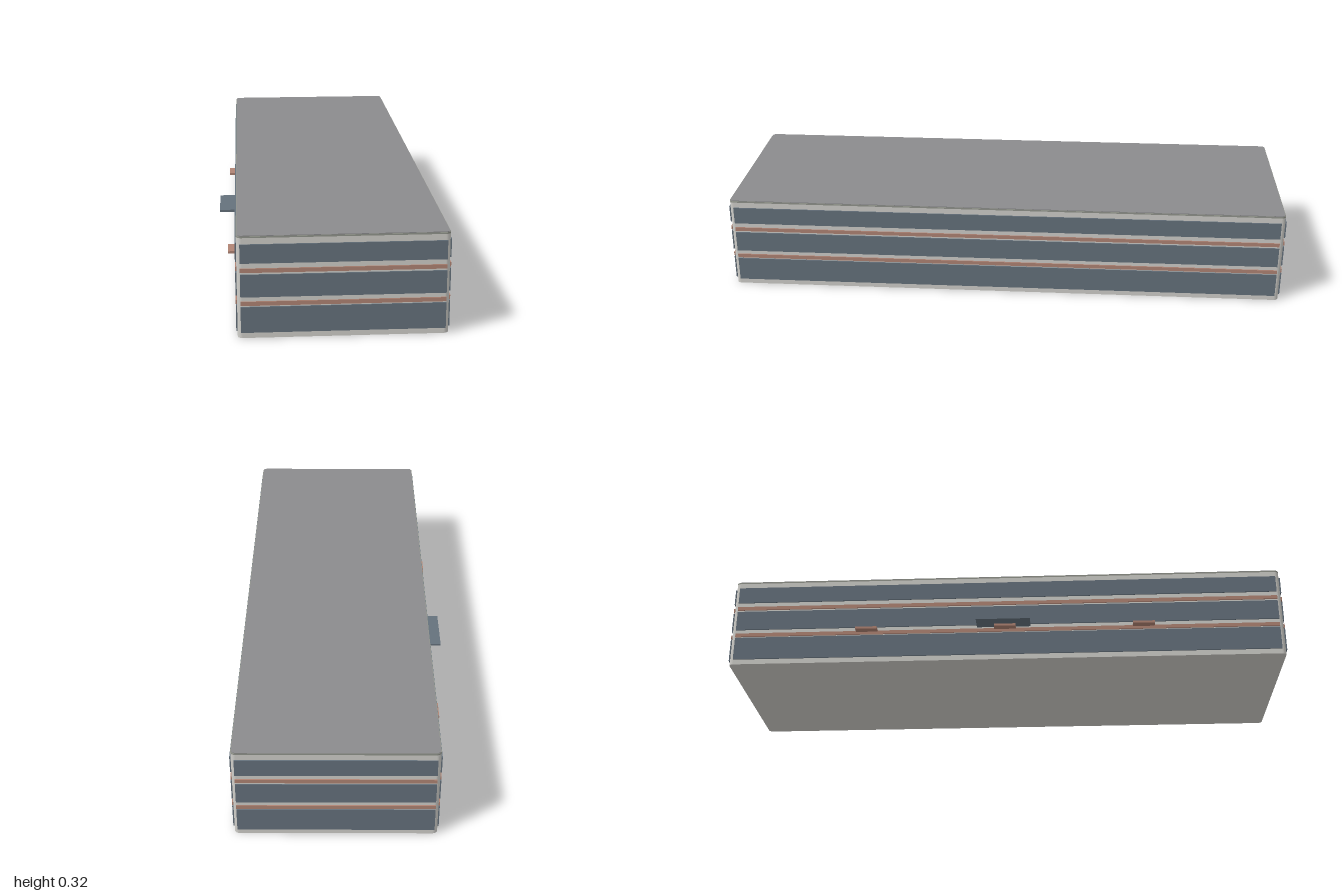
import * as THREE from 'three';

const W = 0.636, L = 1.918, TURN = 0.1385;

function material(name, color) {
  const m = new THREE.MeshStandardMaterial({ color });
  m.name = name;
  return m;
}

// Upright slab with a rounded rectangular plan
function slab(w, l, r, y0, y1) {
  const s = new THREE.Shape();
  const corners = [[1, 1, 0], [-1, 1, 1], [-1, -1, 2], [1, -1, 3]];
  for (const [sx, sy, q] of corners) {
    s.absarc(sx * (w / 2 - r), sy * (l / 2 - r), r, q * Math.PI / 2, (q + 1) * Math.PI / 2, false);
  }
  const g = new THREE.ExtrudeGeometry(s, { depth: y1 - y0, bevelEnabled: false, curveSegments: 4 });
  g.rotateX(-Math.PI / 2);
  g.translate(0, y0, 0);
  return g;
}

export function createModel() {
  const wall = material('pale wall', 0xd0cfca);
  const glass = material('blue grey glass', 0x65717c);
  const copper = material('copper band', 0xb08474);
  const edge = material('roof edge grey', 0x92958c);
  const roof = material('roof grey', 0x8b8b8d);

  const model = new THREE.Group();
  const building = new THREE.Group();
  building.name = 'building';
  building.rotation.y = TURN;
  model.add(building);

  const add = (name, geometry, mat) => {
    const mesh = new THREE.Mesh(geometry, mat);
    mesh.name = name;
    building.add(mesh);
    return mesh;
  };
  const box = (name, mat, w, h, d, x, y, z) =>
    add(name, new THREE.BoxGeometry(w, h, d), mat).position.set(x, y, z);

  // Main block and roof
  add('walls', slab(W, L, 0.015, 0, 0.315), wall);
  add('roofEdge', slab(W, L, 0.015, 0.315, 0.32), edge);
  add('roofTop', slab(W - 0.004, L - 0.004, 0.013, 0.32, 0.322), roof);

  // Window strips and copper bands on all four sides
  const strips = [
    ['windowStrip', glass, 0.018, 0.1, 0.004],
    ['copperBand', copper, 0.104, 0.117, 0.004],
    ['windowStrip', glass, 0.131, 0.202, 0.004],
    ['copperBand', copper, 0.208, 0.221, 0.004],
    ['windowStrip', glass, 0.237, 0.296, 0.004],
  ];
  for (const [name, mat, y0, y1, out] of strips) {
    const h = y1 - y0, y = (y0 + y1) / 2;
    for (const side of [-1, 1]) {
      box(name, mat, out, h, L - 0.028, side * (W + out) / 2, y, 0);
      box(name, mat, W - 0.02, h, out, 0, y, side * (L + out) / 2);
    }
  }

  // Entrance canopies on the long right side
  box('mainCanopy', glass, 0.063, 0.008, 0.186, -W / 2 - 0.0315, 0.127, -0.005);
  for (const z of [-0.482, 0, 0.479]) {
    box('smallCanopy', copper, 0.03, 0.008, 0.075, -W / 2 - 0.015, 0.117, z);
  }
  return model;
}
